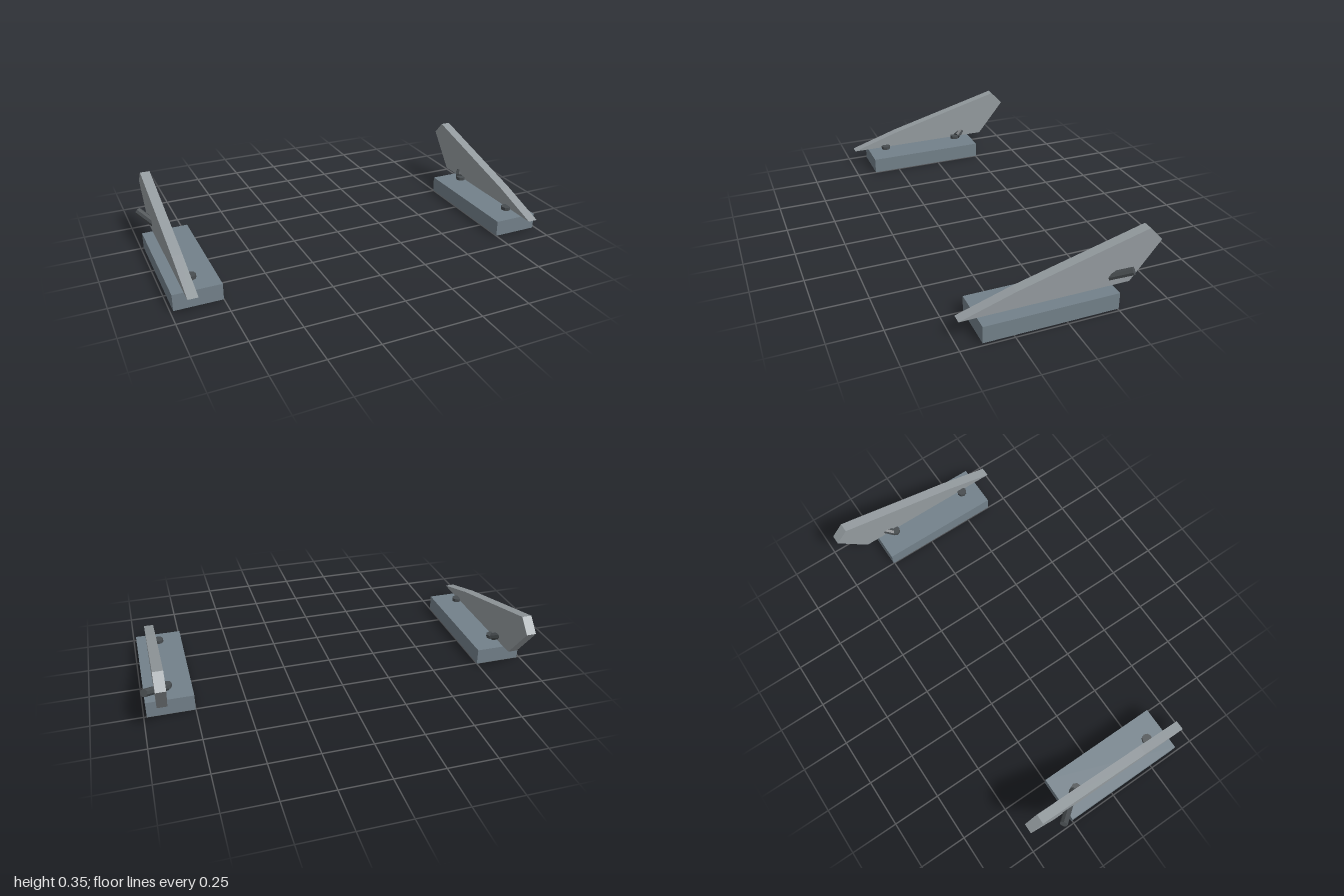
import * as THREE from 'three';

const material = (name, color) => {
  const m = new THREE.MeshStandardMaterial({ color });
  m.name = name;
  return m;
};

export function createModel() {
  const model = new THREE.Group();
  model.name = 'finPair';
  const slate = material('slate', 0x73818a);
  const grey = material('lightGrey', 0x949b9f);
  const dark = material('darkSteel', 0x484d50);
  dark.flatShading = true;

  const add = (parent, name, geometry, mat) => {
    const mesh = new THREE.Mesh(geometry, mat);
    mesh.name = name;
    parent.add(mesh);
    return mesh;
  };

  // Fin outline as (z, y)
  const outline = new THREE.Shape([
    [0.48, 0.096], [0.22, 0.18], [-0.415, 0.35], [-0.48, 0.28], [-0.33, 0.096],
  ].map(([z, y]) => new THREE.Vector2(z, y)));
  const finGeometry = new THREE.ExtrudeGeometry(outline, { depth: 0.05, bevelEnabled: false });
  finGeometry.rotateY(-Math.PI / 2).translate(0.025, 0, 0);

  for (const side of [1, -1]) {
    const half = new THREE.Group();
    half.name = side > 0 ? 'leftSide' : 'rightSide';
    model.add(half);

    // Base block
    add(half, 'base', new THREE.BoxGeometry(0.235, 0.083, 0.648), slate)
      .position.set(side * 0.868, 0.0415, 0.069);

    // Upright fin
    add(half, 'fin', finGeometry, grey).position.x = side * 0.91;

    // Bolts beside the fin
    for (const z of [0.293, -0.155]) {
      add(half, 'bolt', new THREE.CylinderGeometry(0.026, 0.026, 0.018, 8), dark)
        .position.set(side * 0.872, 0.1, z);
    }

    // Slanted rod through the fin
    const inner = new THREE.Vector3(side * 0.872, 0.101, -0.169);
    const outer = new THREE.Vector3(side * 0.983, 0.182, -0.3165);
    const axis = outer.clone().sub(inner);
    const rod = add(half, 'rod', new THREE.CylinderGeometry(0.02, 0.02, axis.length(), 8), dark);
    rod.position.copy(inner).add(outer).multiplyScalar(0.5);
    rod.quaternion.setFromUnitVectors(new THREE.Vector3(0, 1, 0), axis.normalize());
  }
  return model;
}
